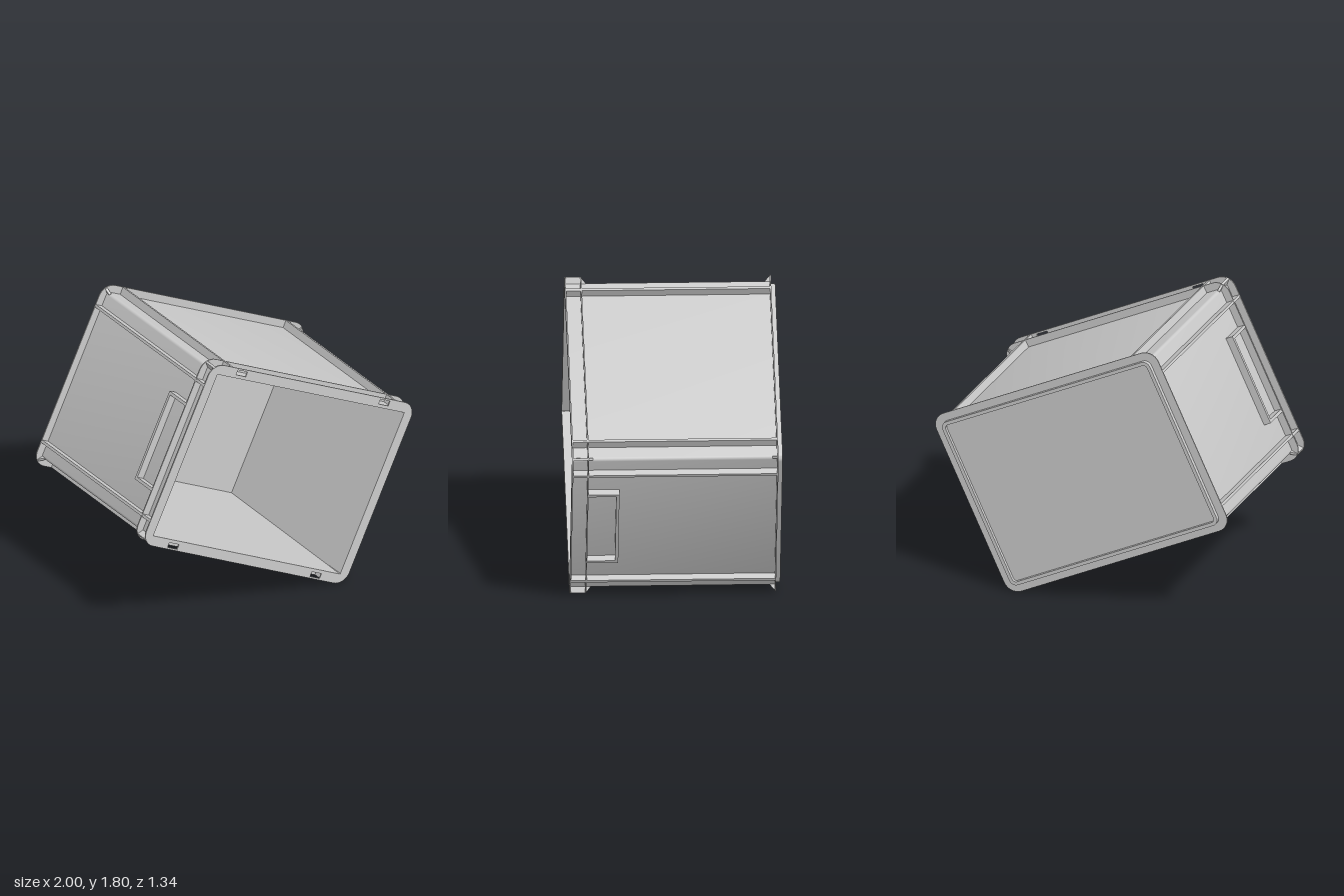
import * as THREE from 'three';
import { toCreasedNormals } from 'three/addons/utils/BufferGeometryUtils.js';

const A = 0.84, B = 0.632, R = 0.09;      // half sizes and corner radius of the flanges
const WALL_X = 0.79, WALL_Y = 0.581;      // outer faces of the walls
const IN_X = 0.774, IN_Y = 0.565;         // inner faces of the walls at the opening
const TAPER = 0.013;                      // how far the inner faces close in towards the floor

const material = new THREE.MeshStandardMaterial({ color: 0xcccccc });

const vec = (pts) => pts.map(([x, y]) => new THREE.Vector2(x, y));

const rect = (a, b, x = 0, y = 0) => [[x + a, y + b], [x - a, y + b], [x - a, y - b], [x + a, y - b]];

// Rounded rectangle outline with half sizes a and b, corner radius r
function roundRect(a, b, r, n = 8) {
  const pts = [];
  [[1, 1], [-1, 1], [-1, -1], [1, -1]].forEach(([sx, sy], q) => {
    for (let i = 0; i <= n; i++) {
      const t = (q + i / n) * Math.PI / 2;
      pts.push([sx * (a - r) + r * Math.cos(t), sy * (b - r) + r * Math.sin(t)]);
    }
  });
  return pts;
}

// Straight prism between z0 and z1
function prism(outline, holes, z0, z1) {
  const shape = new THREE.Shape(vec(outline));
  holes.forEach((h) => shape.holes.push(new THREE.Path(vec(h))));
  const g = new THREE.ExtrudeGeometry(shape, { depth: z1 - z0, bevelEnabled: false });
  return g.translate(0, 0, z0);
}

// Box given by its lower and upper bounds on each axis
function box(x0, x1, y0, y1, z0, z1) {
  const g = new THREE.BoxGeometry(x1 - x0, y1 - y0, z1 - z0);
  return g.translate((x0 + x1) / 2, (y0 + y1) / 2, (z0 + z1) / 2);
}

// Upright blade standing on a wall corner, pointing out along the diagonal
function cornerBlade(profile, sx, sy) {
  const g = new THREE.ExtrudeGeometry(new THREE.Shape(vec(profile)), { depth: 0.016, bevelEnabled: false });
  g.translate(0, 0, -0.008);
  g.rotateX(Math.PI / 2);                         // profile y becomes z
  g.rotateZ(Math.atan2(sy, sx));
  return g.translate(sx * (A - R), sy * (B - R), 0);
}

export function createModel() {
  const model = new THREE.Group();
  model.name = 'storageCrate';
  const crate = new THREE.Group();
  crate.name = 'tiltedCrate';
  crate.rotation.z = THREE.MathUtils.degToRad(-25.2);
  crate.position.y = 0.9;
  model.add(crate);

  const add = (name, geometry) => {
    const mesh = new THREE.Mesh(toCreasedNormals(geometry, 0.5), material);
    mesh.name = name;
    crate.add(mesh);
  };

  // Walls with slightly tapered inner faces
  const walls = prism(roundRect(WALL_X, WALL_Y, 0.02, 4), [rect(IN_X, IN_Y)], -0.638, 0.665);
  const p = walls.attributes.position;
  for (let i = 0; i < p.count; i++) {
    const inner = Math.abs(Math.abs(p.getX(i)) - IN_X) < 1e-4 && Math.abs(Math.abs(p.getY(i)) - IN_Y) < 1e-4;
    if (!inner || p.getZ(i) > 0) continue;
    p.setX(i, p.getX(i) - Math.sign(p.getX(i)) * TAPER);
    p.setY(i, p.getY(i) - Math.sign(p.getY(i)) * TAPER);
  }
  walls.computeVertexNormals();
  add('walls', walls);

  // Closed end: flange, floor and raised foot ring
  add('baseFlange', prism(roundRect(A, B, R), [], -0.642, -0.634));
  add('floor', prism(rect(0.765, 0.555), [], -0.648, -0.62));
  add('footRing', prism(roundRect(0.785, 0.58, 0.045), [roundRect(0.762, 0.557, 0.025)], -0.67, -0.638));

  // Open end: two thin flanges, the front one with four slots along its long sides
  const slots = [];
  for (const sx of [-1, 1]) for (const sy of [-1, 1]) slots.push(rect(0.04, 0.017, sx * 0.59, sy * 0.604));
  add('frontFlange', prism(roundRect(A, B, R), [rect(IN_X, IN_Y), ...slots], 0.661, 0.67));
  add('rearFlange', prism(roundRect(A, B, R), [rect(0.78, 0.571)], 0.562, 0.57));

  // Ribs along the walls beside each corner
  for (const s of [-1, 1]) {
    for (const t of [-1, 1]) {
      const longRib = box(-0.01, 0.01, -0.03, 0.03, -0.638, 0.665);
      add('longSideRib', longRib.translate(s * 0.675, t * (B - 0.031), 0));
      const shortRib = box(-0.03, 0.03, -0.009, 0.009, -0.638, 0.665);
      add('shortSideRib', shortRib.translate(s * (A - 0.031), t * 0.474, 0));

      // Diagonal blades: full height between the rim flanges, small gussets elsewhere
      const r0 = 0.03, r1 = 0.05, r2 = R - 0.001;
      const rim = [[r0, -0.665], [r2, -0.665], [r2, -0.566], [r1, -0.535], [r0, -0.535]];
      const base = [[r0, 0.638], [r2, 0.638], [r1, 0.605], [r0, 0.605]];
      // rotateX sends profile y to z, so both profiles are mirrored in y
      add('rimCornerBlade', cornerBlade(rim.map(([x, z]) => [x, -z]), s, t));
      add('baseCornerBlade', cornerBlade(base.map(([x, z]) => [x, -z]), s, t));
    }

    // Handle: U-shaped rib joined to the rear flange of the rim
    const side = s > 0 ? 'left' : 'right';
    add(side + 'HandleBar', box(-0.03, 0.03, -0.308, 0.308, 0.365, 0.385).translate(s * 0.809, 0, 0));
    for (const t of [-1, 1]) {
      const arm = box(-0.03, 0.03, -0.01, 0.01, 0.375, 0.565);
      add(side + 'HandleArm', arm.translate(s * 0.809, t * 0.298, 0));
    }
  }

  return model;
}
